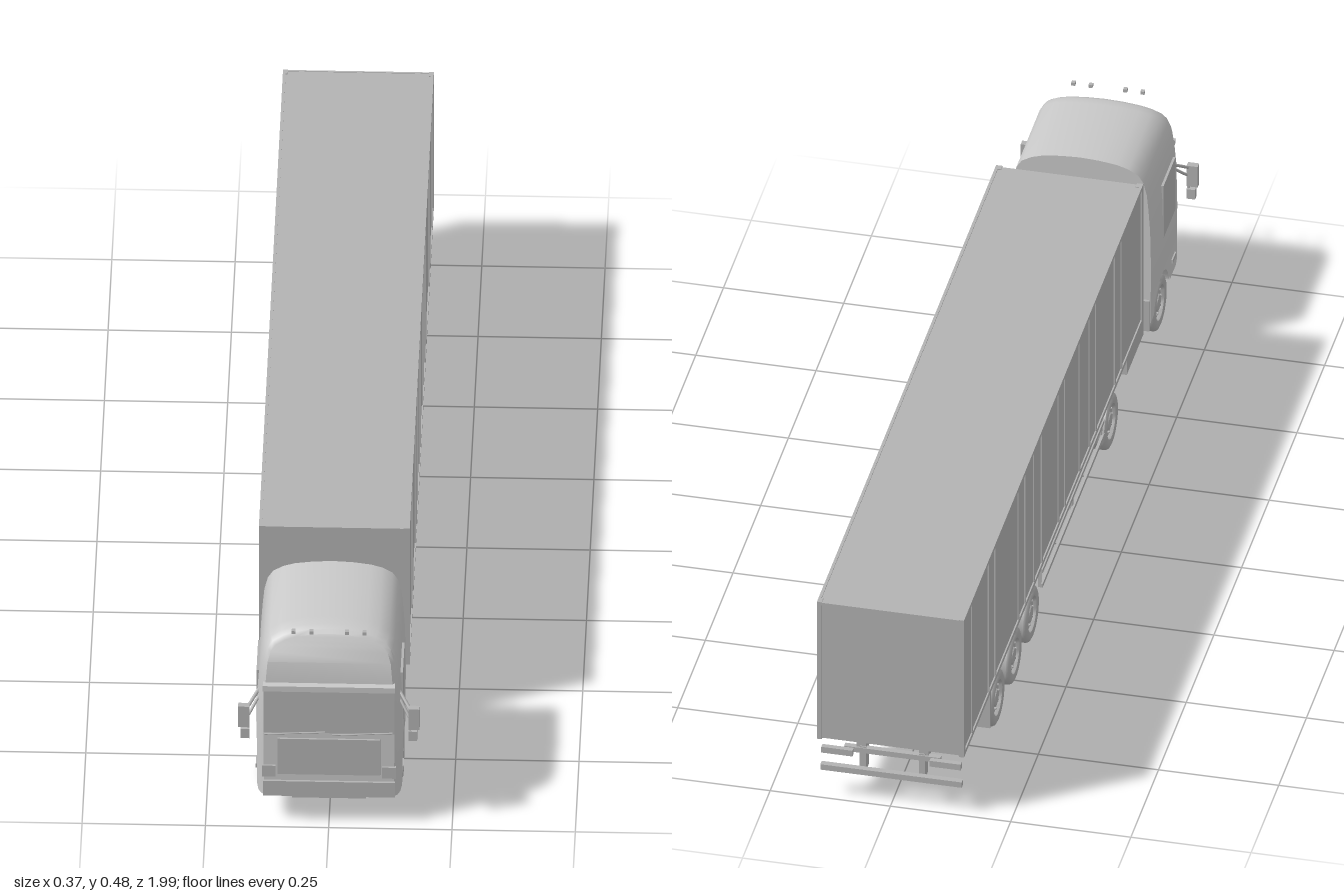
import * as THREE from 'three';
import { toCreasedNormals } from 'three/addons/utils/BufferGeometryUtils.js';

export function createModel() {
  const model = new THREE.Group();
  model.name = 'articulatedLorry';
  const grey = new THREE.MeshStandardMaterial({ color: 0xb2b2b2 });
  grey.name = 'midGrey';
  const cabGrey = new THREE.MeshStandardMaterial({ color: 0xc8c8c8 });
  cabGrey.name = 'cabLightGrey';
  const sheet = new THREE.MeshStandardMaterial({ color: 0xb2b2b2, side: THREE.DoubleSide });
  sheet.name = 'sheetGrey';

  const add = (name, geo, mat = grey, parent = model) => {
    const m = new THREE.Mesh(geo, mat);
    m.name = name;
    parent.add(m);
    return m;
  };
  // box given by its limits on each axis
  const box = (name, x0, x1, y0, y1, z0, z1, mat = grey) => {
    const m = add(name, new THREE.BoxGeometry(x1 - x0, y1 - y0, z1 - z0), mat);
    m.position.set((x0 + x1) / 2, (y0 + y1) / 2, (z0 + z1) / 2);
    return m;
  };
  // the same box on both sides
  const pair = (name, x0, x1, ...rest) => {
    box(name + 'Left', x0, x1, ...rest);
    box(name + 'Right', -x1, -x0, ...rest);
  };
  // round bar between two points
  const bar = (name, a, b, r) => {
    const path = new THREE.LineCurve3(new THREE.Vector3(...a), new THREE.Vector3(...b));
    return add(name, new THREE.TubeGeometry(path, 1, r, 6), sheet);
  };

  // closed body from a half outline [x, y] swept along sections [z, inset]
  function loft(half, sections) {
    const mirrored = half.filter(p => p[0] > 0).reverse().map(([x, y]) => [-x, y]);
    const ring = [...half, ...mirrored];
    const n = ring.length;
    const pos = [], idx = [];
    sections.forEach(([z, inset], k) => ring.forEach(([x, y]) => {
      const slope = k > 0 ? 1.3 * Math.max(0, y - 0.3) ** 2 : 0;
      const drop = inset * THREE.MathUtils.smoothstep(y, 0.38, 0.45);
      pos.push(x * (1 - inset / 0.148), y - drop, z - slope);
    }));
    for (let k = 0; k < sections.length - 1; k++) {
      for (let i = 0; i < n; i++) {
        const j = (i + 1) % n, a = k * n, b = a + n;
        idx.push(a + i, a + j, b + j, a + i, b + j, b + i);
      }
    }
    const f = (sections.length - 1) * n;
    for (let i = 0; i < Math.floor((n - 1) / 2); i++) {
      const p = i + 1, q = n - 2 - i, r = n - 1 - i;
      idx.push(f + i, f + q, f + r, i, r, q);
      if (p !== q) idx.push(f + i, f + p, f + q, i, q, p);
    }
    const g = new THREE.BufferGeometry();
    g.setAttribute('position', new THREE.Float32BufferAttribute(pos, 3));
    g.setIndex(idx);
    return toCreasedNormals(g, 0.65);
  }

  // cab shell and nose
  const cabOutline = [[0.147, 0.13], [0.148, 0.2], [0.146, 0.3], [0.1425, 0.35], [0.139, 0.387],
    [0.132, 0.415], [0.121, 0.432], [0.1, 0.444], [0.077, 0.451], [0.04, 0.456], [0, 0.458]];
  const front = [[0.94, 0], [0.962, 0.003], [0.974, 0.008], [0.981, 0.015]];
  add('cabShell', loft(cabOutline, [[0.712, 0], ...front]), cabGrey);
  add('cabNose', loft([[0.147, 0.067], [0.147, 0.13]], [[0.885, 0], ...front]), cabGrey);

  // lower cab sides with wheel arches
  const skirt = new THREE.Shape();
  skirt.moveTo(0.712, 0.075);
  skirt.lineTo(0.7435, 0.075);
  skirt.absarc(0.81, 0.06, 0.068, Math.PI - 0.22, 0.22, true);
  skirt.lineTo(0.886, 0.075);
  skirt.lineTo(0.886, 0.13);
  skirt.lineTo(0.712, 0.13);
  for (const s of [1, -1]) {
    const g = new THREE.ExtrudeGeometry(skirt, { depth: 0.04, bevelEnabled: false, curveSegments: 20 });
    g.rotateY(-Math.PI / 2); // profile along z, depth along -x
    add(s > 0 ? 'wheelArchLeft' : 'wheelArchRight', g, cabGrey).position.x = s > 0 ? 0.147 : -0.107;
  }
  box('cabFloor', -0.107, 0.107, 0.07, 0.131, 0.713, 0.89);

  // front panels
  box('windscreen', -0.133, 0.133, 0.222, 0.328, 0.977, 0.984);
  box('sunVisor', -0.134, 0.134, 0.328, 0.341, 0.975, 0.992, cabGrey);
  box('grille', -0.104, 0.104, 0.12, 0.207, 0.978, 0.985);
  box('bumperPanel', -0.134, 0.134, 0.067, 0.103, 0.978, 0.986);
  box('bumperLip', -0.075, 0.075, 0.056, 0.067, 0.9, 0.975);
  pair('headlight', 0.108, 0.136, 0.113, 0.14, 0.977, 0.985);
  for (const x of [-0.131, 0.006]) {
    bar('wiper', [x, 0.22, 0.988], [x + 0.123, 0.227, 0.988], 0.0016);
  }
  for (const x of [-0.072, -0.036, 0.036, 0.072]) {
    box('roofLight', x - 0.004, x + 0.004, 0.457, 0.464, 0.963, 0.972);
  }
  // side windows, steps and mirrors
  pair('sideWindow', 0.142, 0.1485, 0.21, 0.337, 0.823, 0.93);
  pair('sideMarker', 0.144, 0.15, 0.097, 0.106, 0.9, 0.93);
  pair('largeMirror', 0.161, 0.184, 0.238, 0.288, 0.976, 0.99);
  pair('smallMirror', 0.161, 0.179, 0.209, 0.232, 0.974, 0.988);
  for (const s of [1, -1]) {
    bar('mirrorArmUpper', [s * 0.14, 0.308, 0.945], [s * 0.166, 0.28, 0.982], 0.0035);
    bar('mirrorArmLower', [s * 0.14, 0.295, 0.95], [s * 0.163, 0.262, 0.98], 0.003);
    bar('mirrorStem', [s * 0.164, 0.22, 0.981], [s * 0.164, 0.285, 0.981], 0.003);
  }

  // tractor chassis
  pair('tractorRail', 0.045, 0.06, 0.095, 0.122, 0.26, 0.72);
  box('batteryBox', -0.072, 0.072, 0.075, 0.13, 0.635, 0.685);
  pair('fuelTank', 0.09, 0.137, 0.06, 0.118, 0.54, 0.692);
  pair('rearCabPost', 0.1, 0.147, 0.062, 0.135, 0.7, 0.706);
  pair('airLine', 0.095, 0.135, 0.127, 0.132, 0.64, 0.706);
  box('couplingPlate', -0.065, 0.065, 0.12, 0.142, 0.3, 0.47);

  // trailer body
  box('trailerBody', -0.15, 0.15, 0.144, 0.475, -0.997, 0.618);
  pair('topRail', 0.147, 0.153, 0.468, 0.477, -1, 0.62);
  pair('bottomRail', 0.147, 0.153, 0.142, 0.152, -1, 0.62);
  pair('frontCornerPost', 0.14, 0.153, 0.142, 0.477, 0.607, 0.62);
  pair('rearCornerPost', 0.143, 0.153, 0.142, 0.477, -1, -0.985);
  for (const z of [0.43, 0.37, 0.2, 0.14, 0.05, -0.08, -0.14, -0.29, -0.36, -0.44, -0.5, -0.71, -0.77, -0.92]) {
    pair('curtainRib', 0.149, 0.1525, 0.15, 0.47, z - 0.004, z + 0.004);
  }
  for (const x of [-0.105, -0.055, 0, 0.055, 0.105]) {
    box('doorBar', x - 0.003, x + 0.003, 0.146, 0.473, -1, -0.996);
  }
  box('doorHeader', -0.15, 0.15, 0.469, 0.476, -1, -0.996);

  // trailer underframe
  pair('frontSill', 0.055, 0.075, 0.13, 0.145, -0.28, 0.6);
  pair('rearBeam', 0.055, 0.075, 0.116, 0.145, -0.98, -0.27);
  pair('mudFlap', 0.104, 0.147, 0.04, 0.125, -0.738, -0.732);
  pair('mudFlapHanger', 0.07, 0.145, 0.122, 0.144, -0.738, -0.73);

  // side guards
  for (const y of [0.062, 0.097]) pair('guardRail', 0.138, 0.144, y, y + 0.009, -0.25, 0.31);
  for (const z of [-0.25, 0.037, 0.3]) pair('guardPost', 0.134, 0.14, 0.062, 0.106, z, z + 0.007);
  for (const z of [-0.2, 0.037, 0.22]) pair('guardHanger', 0.128, 0.134, 0.1, 0.144, z, z + 0.007);

  // rear bumper and lamps
  box('rearBumper', -0.147, 0.147, 0.064, 0.077, -0.995, -0.982);
  pair('bumperPost', 0.055, 0.068, 0.066, 0.125, -0.982, -0.955);
  pair('rearLampBar', 0.08, 0.145, 0.106, 0.12, -0.995, -0.984);
  box('rearCrossbar', -0.1, 0.1, 0.11, 0.122, -0.984, -0.972);

  // wheels: rim recessed outside, hollow inside
  const profile = [[0, 0], [0.033, -0.002], [0.035, -0.015], [0.05, -0.018], [0.057, -0.015], [0.06, -0.01],
    [0.06, 0.01], [0.057, 0.015], [0.05, 0.018], [0.038, 0.016], [0.035, 0.009], [0.02, 0.008], [0.016, 0.014], [0, 0.014]];
  const wheelGeo = toCreasedNormals(
    new THREE.LatheGeometry(profile.map(p => new THREE.Vector2(...p)), 28).rotateZ(-Math.PI / 2), 0.7);
  const nutGeo = new THREE.CylinderGeometry(0.0025, 0.0025, 0.005, 6).rotateZ(Math.PI / 2);
  function wheel(name, x, z, outward) {
    const g = new THREE.Group();
    g.name = name;
    add('tyreAndRim', wheelGeo, grey, g);
    for (let i = 0; i < 8; i++) {
      const a = i * Math.PI / 4;
      add('wheelNut', nutGeo, grey, g).position.set(0.01, 0.027 * Math.cos(a), 0.027 * Math.sin(a));
    }
    g.position.set(x, 0.06, z);
    if (outward < 0) g.rotation.y = Math.PI;
    model.add(g);
  }
  for (const z of [0.81, 0.37, -0.345, -0.5, -0.655]) {
    for (const s of [1, -1]) {
      wheel('wheel', s * 0.1285, z, s);
      if (z === 0.37) wheel('innerWheel', s * 0.09, z, -s);
    }
    const axle = add('axle', new THREE.CylinderGeometry(0.007, 0.007, 0.25, 10).rotateZ(Math.PI / 2));
    axle.position.set(0, 0.06, z);
  }

  // drive wheel mudguards
  for (const s of [1, -1]) {
    const guard = new THREE.CylinderGeometry(0.067, 0.067, 0.07, 14, 1, true, 0, 2.1);
    guard.rotateZ(Math.PI / 2);
    guard.rotateX(-Math.PI / 2 - 0.55);
    // mirror rule keeps the arc over the top and rear of the wheel
    const p = guard.attributes.position;
    for (let i = 0; i < p.count; i++) {
      const a = Math.PI * (0.35 + 0.6 * (i % 15) / 14);
      p.setY(i, 0.067 * Math.sin(a));
      p.setZ(i, 0.067 * Math.cos(a));
    }
    guard.computeVertexNormals();
    add(s > 0 ? 'mudguardLeft' : 'mudguardRight', guard, sheet).position.set(s * 0.109, 0.06, 0.37);
  }
  return model;
}
